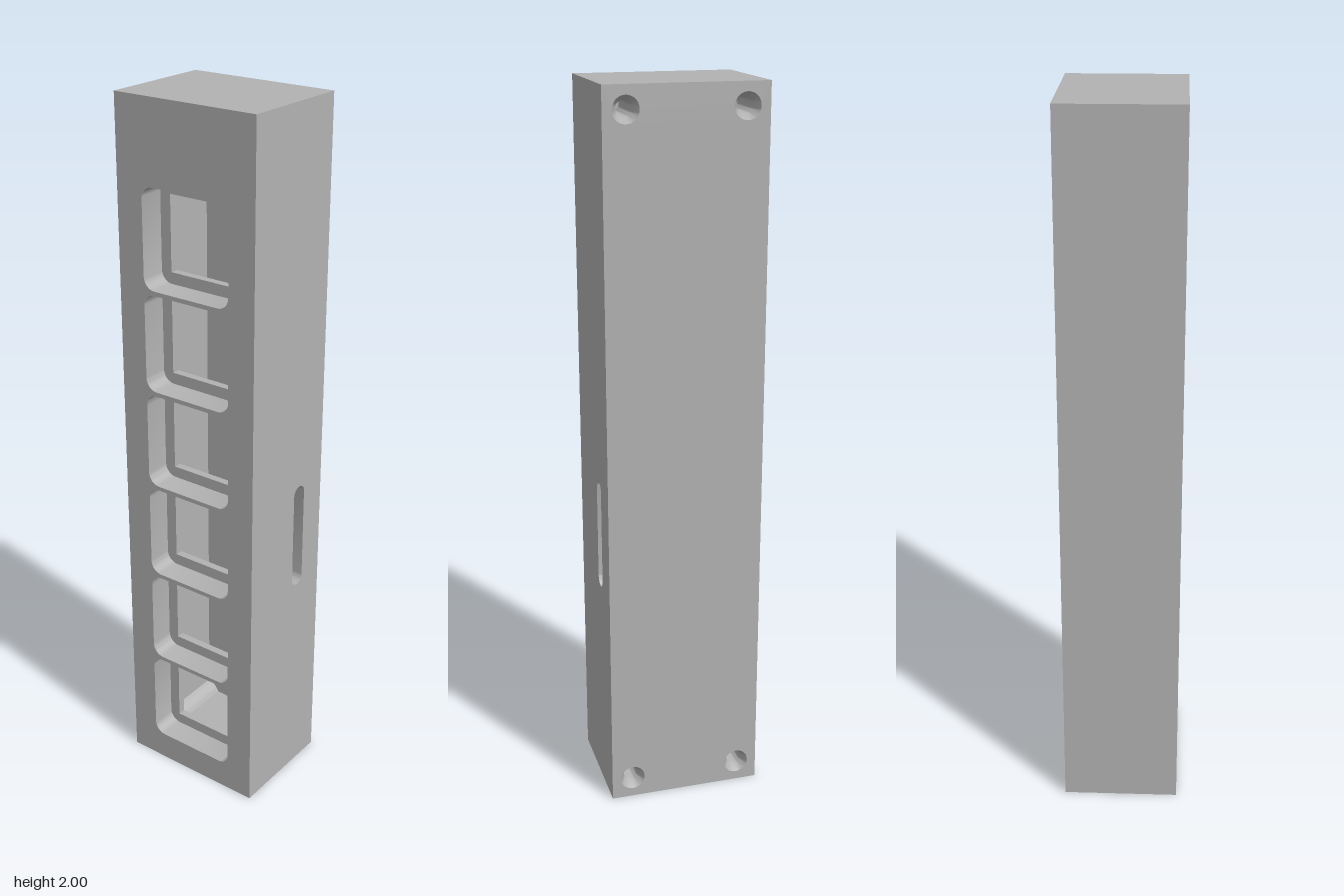
import * as THREE from 'three';
import { toCreasedNormals } from 'three/addons/utils/BufferGeometryUtils.js';

const HX = 0.216, HZ = 0.163, H = 2;             // outer half width, half depth, height
const RECESS_Z = 0.089, CAV_FRONT = 0.067, CAV_BACK = -0.105;
const CAV_X = 0.137, CAV_Y0 = 0.085, CAV_Y1 = 1.915;
const SCREW_X = 0.156, SCREW_Y = 0.06, BOSS_R = 0.06;
const SLOT_Z = -0.057, SLOT_Y0 = 0.63, SLOT_Y1 = 0.945, SLOT_R = 0.024;
const WINDOWS = 6, FIRST_Y = 0.22, PITCH = 0.284;

// Counter-clockwise rounded rectangle; r = 0 gives square corners
function outline(cx, cy, hw, hh, r = 0) {
  const pts = [], n = r ? 8 : 0;
  [[1, 1], [-1, 1], [-1, -1], [1, -1]].forEach(([sx, sy], q) => {
    for (let i = 0; i <= n; i++) {
      const a = (q + (n ? i / n : 0)) * Math.PI / 2;
      pts.push(new THREE.Vector2(
        cx + sx * (hw - r) + r * Math.cos(a), cy + sy * (hh - r) + r * Math.sin(a)));
    }
  });
  return pts;
}

// Flat face with holes at depth z
function face(points, holes, z) {
  const shape = new THREE.Shape(points);
  holes.forEach((h) => shape.holes.push(new THREE.Path(h)));
  return new THREE.ShapeGeometry(shape).translate(0, 0, z);
}

// Inward-facing wall along an outline from z0 to z1
function wall(points, z0, z1, closed = true) {
  const pos = [];
  const count = closed ? points.length : points.length - 1;
  for (let i = 0; i < count; i++) {
    const a = points[i], b = points[(i + 1) % points.length];
    pos.push(a.x, a.y, z0, a.x, a.y, z1, b.x, b.y, z1, a.x, a.y, z0, b.x, b.y, z1, b.x, b.y, z0);
  }
  const g = new THREE.BufferGeometry();
  g.setAttribute('position', new THREE.Float32BufferAttribute(pos, 3));
  return toCreasedNormals(g, 0.6);
}

// Cavity outline with round screw bosses bulging into its corners
function cavityOutline() {
  const pts = [], n = 8;
  const aSide = Math.acos((SCREW_X - CAV_X) / BOSS_R);
  const aEnd = Math.asin((CAV_Y0 - SCREW_Y) / BOSS_R);
  [[1, 1], [-1, 1], [-1, -1], [1, -1]].forEach(([sx, sy]) => {
    for (let i = 0; i <= n; i++) {
      const t = sx * sy > 0 ? i / n : 1 - i / n;
      const a = aSide + (aEnd - aSide) * t;
      pts.push(new THREE.Vector2(
        sx * (SCREW_X - BOSS_R * Math.cos(a)),
        1 + sy * (1 - SCREW_Y - BOSS_R * Math.sin(a))));
    }
  });
  return pts;
}

export function createModel() {
  const grey = new THREE.MeshStandardMaterial({ color: 0xb2b2b2, side: THREE.DoubleSide });
  grey.name = 'grey';
  const model = new THREE.Group();
  model.name = 'housing';
  const add = (name, geometry, parent = model) => {
    const mesh = new THREE.Mesh(geometry, grey);
    mesh.name = name;
    parent.add(mesh);
    return mesh;
  };

  // Front with stepped windows
  const recesses = [], openings = [];
  for (let i = 0; i < WINDOWS; i++) {
    const y = FIRST_Y + i * PITCH;
    const recess = outline(0, y, 0.136, 0.136, 0.034);
    const opening = outline(0, y, 0.104, 0.104);
    recesses.push(recess);
    openings.push(opening);
    add('windowRecess', wall(recess, RECESS_Z, HZ));
    add('windowLedge', face(recess, [opening], RECESS_Z));
    add('windowOpening', wall(opening, CAV_FRONT, RECESS_Z));
  }
  add('frontFace', face(outline(0, 1, HX, 1), recesses, HZ));

  // Inner cavity: its side wall at +x is left open for the slotted face
  const cavity = cavityOutline();
  add('cavityWalls', wall(cavity, CAV_BACK, CAV_FRONT, false));
  add('cavityBack', face(cavity, [], CAV_BACK));
  add('cavityFront', face(cavity, openings, 0).rotateY(Math.PI).translate(0, 0, CAV_FRONT));

  // Left side (+x) with the cable slot, built in a frame turned to face +x
  const side = new THREE.Group();
  side.name = 'slottedSide';
  side.rotation.y = Math.PI / 2;
  model.add(side);
  const slot = outline(-SLOT_Z, (SLOT_Y0 + SLOT_Y1) / 2, SLOT_R, (SLOT_Y1 - SLOT_Y0) / 2, SLOT_R);
  const y0 = cavity[cavity.length - 1].y, y1 = cavity[0].y;
  add('slottedFace', face(outline(0, 1, HZ, 1), [slot], HX), side);
  add('slotWalls', wall(slot, CAV_X, HX), side);
  const inner = face(
    outline(-(CAV_FRONT + CAV_BACK) / 2, (y0 + y1) / 2, (CAV_FRONT - CAV_BACK) / 2, (y1 - y0) / 2),
    [slot], CAV_X);
  // turn the inner face towards the cavity
  const index = inner.index.array;
  for (let i = 0; i < index.length; i += 3) [index[i], index[i + 1]] = [index[i + 1], index[i]];
  inner.computeVertexNormals();
  add('slottedInnerFace', inner, side);

  // Plain outer faces
  add('plainSide', new THREE.PlaneGeometry(2 * HZ, H).rotateY(-Math.PI / 2).translate(-HX, 1, 0));
  add('top', new THREE.PlaneGeometry(2 * HX, 2 * HZ).rotateX(-Math.PI / 2).translate(0, H, 0));
  add('bottom', new THREE.PlaneGeometry(2 * HX, 2 * HZ).rotateX(Math.PI / 2));

  // Back with countersunk screw holes
  const back = new THREE.Group();
  back.name = 'back';
  back.rotation.y = Math.PI;
  model.add(back);
  const holes = [];
  const profile = [[0.035, 0], [0.02, -0.028], [0.02, -0.15], [0, -0.15]]
    .map(([r, h]) => new THREE.Vector2(r, h));
  for (const x of [-SCREW_X, SCREW_X]) {
    for (const y of [SCREW_Y, H - SCREW_Y]) {
      holes.push(outline(x, y, 0.035, 0.035, 0.035));
      const bore = toCreasedNormals(new THREE.LatheGeometry(profile, 32), 0.6);
      add('screwHole', bore.rotateX(Math.PI / 2).translate(x, y, HZ), back);
    }
  }
  add('backFace', face(outline(0, 1, HX, 1), holes, HZ), back);

  return model;
}
